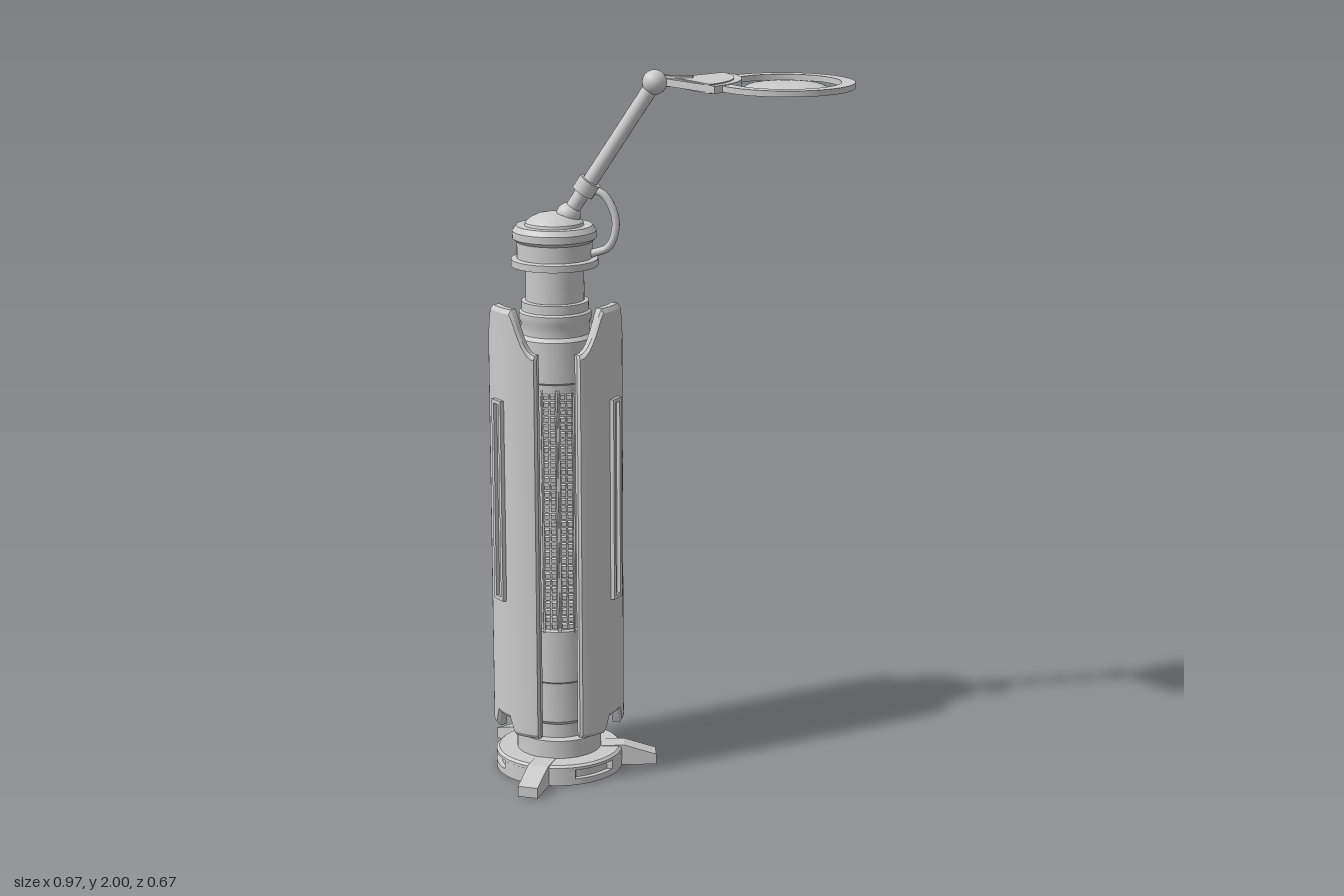
import * as THREE from 'three';
import { mergeGeometries, toCreasedNormals } from 'three/addons/utils/BufferGeometryUtils.js';

const DEG = Math.PI / 180;
const AXIS = [-0.295, -0.073]; // x, z of the column
const PANELS = [40, 158, 285]; // azimuths, from +x towards +z
const GAPS = [98, 221, 342];
const LEGS = [9, 119, 245];
const NOTCHES = [65, 182, 307];

const mat = new THREE.MeshStandardMaterial({ color: 0xcccccc });
const matDouble = new THREE.MeshStandardMaterial({ color: 0xcccccc, side: THREE.DoubleSide });

function add(parent, name, geo, material = mat) {
  const m = new THREE.Mesh(geo, material);
  m.name = name;
  parent.add(m);
  return m;
}
const crease = (g, deg = 30) => toCreasedNormals(g, deg * DEG);
const lathe = (pts) => crease(new THREE.LatheGeometry(pts.map((p) => new THREE.Vector2(...p)), 48));

// Flat shape laid in the xz plane, from y up to y + depth
function slab(shape, depth, y, bevel = 0) {
  const g = new THREE.ExtrudeGeometry(shape, {
    depth, curveSegments: 48, bevelEnabled: bevel > 0, bevelSize: bevel, bevelThickness: bevel, bevelOffset: -bevel, bevelSegments: 1,
  });
  return crease(g.rotateX(Math.PI / 2).translate(0, y + depth, 0));
}

// Rod between two points
function rod(a, b, r, seg = 20) {
  const d = b.clone().sub(a);
  const g = new THREE.CylinderGeometry(r, r, d.length(), seg);
  g.applyQuaternion(new THREE.Quaternion().setFromUnitVectors(new THREE.Vector3(0, 1, 0), d.normalize()));
  return g.translate((a.x + b.x) / 2, (a.y + b.y) / 2, (a.z + b.z) / 2);
}

// Curved shell panel: a chamfered section swept through the azimuth, with shaped top and bottom edges
function panelGeometry() {
  const half = 41, c = 0.008, ri = 0.158, pos = [], idx = [];
  const angles = [-half, -39];
  for (let t = -36; t <= 36; t += 3) angles.push(t);
  angles.push(39, half);
  const n = 6;
  angles.forEach((t, i) => {
    const a = Math.abs(t);
    const yb = 0.137 + 0.045 * THREE.MathUtils.clamp((15 - a) / 6, 0, 1);
    const yt = 1.36 - 0.12 * Math.sin((THREE.MathUtils.clamp((a - 16) / 23, 0, 1) * Math.PI) / 2);
    const ro = a === half ? 0.177 : 0.185;
    const ring = [[ri, yb], [ro - c, yb], [ro, yb + c * 1.5], [ro, yt - c * 1.5], [ro - c, yt], [ri, yt]];
    ring.forEach(([r, y]) => pos.push(r * Math.cos(t * DEG), y, r * Math.sin(t * DEG)));
    if (i === angles.length - 1) return;
    for (let j = 0; j < n; j++) {
      const k = (j + 1) % n, p = i * n, q = p + n;
      idx.push(p + j, p + k, q + k, p + j, q + k, q + j);
    }
  });
  const last = (angles.length - 1) * n;
  for (let j = 1; j < n - 1; j++) idx.push(0, j + 1, j, last, last + j, last + j + 1);
  const g = new THREE.BufferGeometry();
  g.setAttribute('position', new THREE.Float32BufferAttribute(pos, 3));
  g.setIndex(idx);
  g.computeVertexNormals();
  return crease(g, 25);
}

// Raised rectangular frame, facing +x
function frameGeometry(w, h, rim, depth) {
  const rect = (T, a, b) => new T([[-a, -b], [a, -b], [a, b], [-a, b]].map((p) => new THREE.Vector2(...p)));
  const s = rect(THREE.Shape, w / 2, h / 2);
  s.holes.push(rect(THREE.Path, w / 2 - rim, h / 2 - rim));
  return new THREE.ExtrudeGeometry(s, { depth, bevelEnabled: false }).rotateY(Math.PI / 2);
}

// Two ladders of small blocks between rails, facing +x
function grilleGeometry() {
  const parts = [];
  const box = (d, h, w, x, y, z) => parts.push(new THREE.BoxGeometry(d, h, w).translate(x, y, z));
  for (const z of [-0.043, -0.003, 0.003, 0.043]) box(0.03, 0.69, 0.005, 0.108, 0.78, z);
  for (let i = 0; i < 32; i++) {
    const y = 0.45 + i * 0.0213;
    for (const s of [-1, 1]) {
      box(0.02, 0.012, 0.014, 0.108, y, s * 0.014);
      box(0.02, 0.012, 0.014, 0.108, y, s * 0.032);
    }
  }
  return mergeGeometries(parts);
}

function buildBase() {
  const base = new THREE.Group();
  base.name = 'base';
  add(base, 'basePlate', new THREE.CylinderGeometry(0.18, 0.18, 0.018, 48).translate(0, 0.009, 0));
  // Middle layer with a rim notch between each pair of legs
  const s = new THREE.Shape();
  for (let t = 0; t < 360; t += 2) {
    const r = NOTCHES.some((a) => Math.abs(t - a) < 21) ? 0.165 : 0.18;
    s[t ? 'lineTo' : 'moveTo'](r * Math.cos(t * DEG), r * Math.sin(t * DEG));
  }
  add(base, 'notchedRim', slab(s, 0.026, 0.018));
  add(base, 'baseTop', lathe([[0, 0.044], [0.18, 0.044], [0.18, 0.052], [0.172, 0.058], [0, 0.06]]));
  const profile = new THREE.Shape([[0.12, 0], [0.277, 0], [0.277, 0.03], [0.185, 0.06], [0.12, 0.06]].map((p) => new THREE.Vector2(...p)));
  for (const a of LEGS) {
    const leg = new THREE.ExtrudeGeometry(profile, { depth: 0.058, bevelEnabled: false }).translate(0, 0, -0.029);
    add(base, 'leg', leg).rotation.y = -a * DEG;
  }
  return base;
}

function buildColumn() {
  const column = new THREE.Group();
  column.name = 'column';
  add(column, 'core', lathe([
    [0, 0.05], [0.12, 0.05], [0.12, 0.11], [0.09, 0.11], [0.09, 0.15], [0.1, 0.16], [0.1, 0.275], [0.106, 0.28],
    [0.106, 0.43], [0.1, 0.435], [0.1, 1.14], [0.106, 1.145], [0.106, 1.26], [0.095, 1.27], [0.095, 1.3], [0.1, 1.31],
    [0.1, 1.33], [0.093, 1.335], [0.093, 1.36], [0.081, 1.362], [0.081, 1.46], [0, 1.46],
  ]));
  add(column, 'cap', lathe([
    [0, 1.458], [0.12, 1.458], [0.12, 1.477], [0.104, 1.48], [0.104, 1.525], [0.116, 1.535], [0.116, 1.555],
    [0.105, 1.57], [0.082, 1.57], [0.08, 1.578], [0.066, 1.59], [0.045, 1.6], [0.02, 1.605], [0, 1.606],
  ]));
  const panel = panelGeometry(), frame = frameGeometry(0.046, 0.575, 0.011, 0.018), grille = grilleGeometry();
  for (const a of PANELS) {
    const g = new THREE.Group();
    g.name = 'shellPanel';
    add(g, 'shell', panel);
    add(g, 'slotFrame', frame).position.set(0.177, 0.815, 0);
    g.rotation.y = -a * DEG;
    column.add(g);
  }
  for (const a of GAPS) add(column, 'grille', grille).rotation.y = -a * DEG;
  return column;
}

function buildArm() {
  const arm = new THREE.Group();
  arm.name = 'arm';
  const foot = new THREE.Vector3(-0.258, 1.598, -0.06), tip = new THREE.Vector3(-0.035, 1.965, 0.025);
  const at = (t) => foot.clone().lerp(tip, t);
  add(arm, 'armRod', rod(foot, tip, 0.021));
  add(arm, 'footBall', new THREE.SphereGeometry(0.034, 24, 16)).position.copy(foot);
  add(arm, 'armCollar', rod(at(0.17), at(0.26), 0.033, 8));
  add(arm, 'tipBall', new THREE.SphereGeometry(0.034, 24, 16)).position.copy(tip);
  // Cable looping from the collar back to the cap
  const path = [[-0.21, 1.675, -0.045], [-0.165, 1.655, -0.02], [-0.137, 1.585, -0.005], [-0.155, 1.515, -0.01], [-0.2, 1.492, -0.035]];
  const curve = new THREE.CatmullRomCurve3(path.map((p) => new THREE.Vector3(...p)));
  add(arm, 'cable', new THREE.TubeGeometry(curve, 32, 0.011, 12), matDouble);
  return arm;
}

// Head points along local +x, starting at the tip of the arm
function buildHead() {
  const head = new THREE.Group();
  head.name = 'magnifierHead';
  const sector = (r, x) => {
    const s = new THREE.Shape();
    s.moveTo(x, 0);
    s.absarc(0, 0, r, -40 * DEG, 40 * DEG, false);
    s.lineTo(x, 0);
    return s;
  };
  add(head, 'fanPlate', slab(sector(0.215, 0), 0.02, 1.955)).position.x = 0.022;
  add(head, 'fanInset', slab(sector(0.195, 0.03), 0.026, 1.952)).position.x = 0.022;
  add(head, 'neckBar', new THREE.BoxGeometry(0.105, 0.03, 0.02).translate(0.055, 1.968, 0));
  const ring = new THREE.Shape();
  ring.absarc(0.355, 0, 0.189, 0, Math.PI * 2, false);
  const hole = new THREE.Path();
  hole.absarc(0.355, 0, 0.152, 0, Math.PI * 2, true);
  ring.holes.push(hole);
  add(head, 'lensRing', slab(ring, 0.016, 1.957));
  add(head, 'lens', new THREE.SphereGeometry(0.11, 40, 16).scale(1, 0.13, 1)).position.set(0.358, 1.958, 0);
  head.position.set(-0.035, 0, 0.013);
  head.rotation.y = -21.8 * DEG;
  return head;
}

export function createModel() {
  const model = new THREE.Group();
  model.name = 'magnifierLamp';
  for (const part of [buildBase(), buildColumn()]) {
    part.position.set(AXIS[0], 0, AXIS[1]);
    model.add(part);
  }
  model.add(buildArm(), buildHead());
  return model;
}
